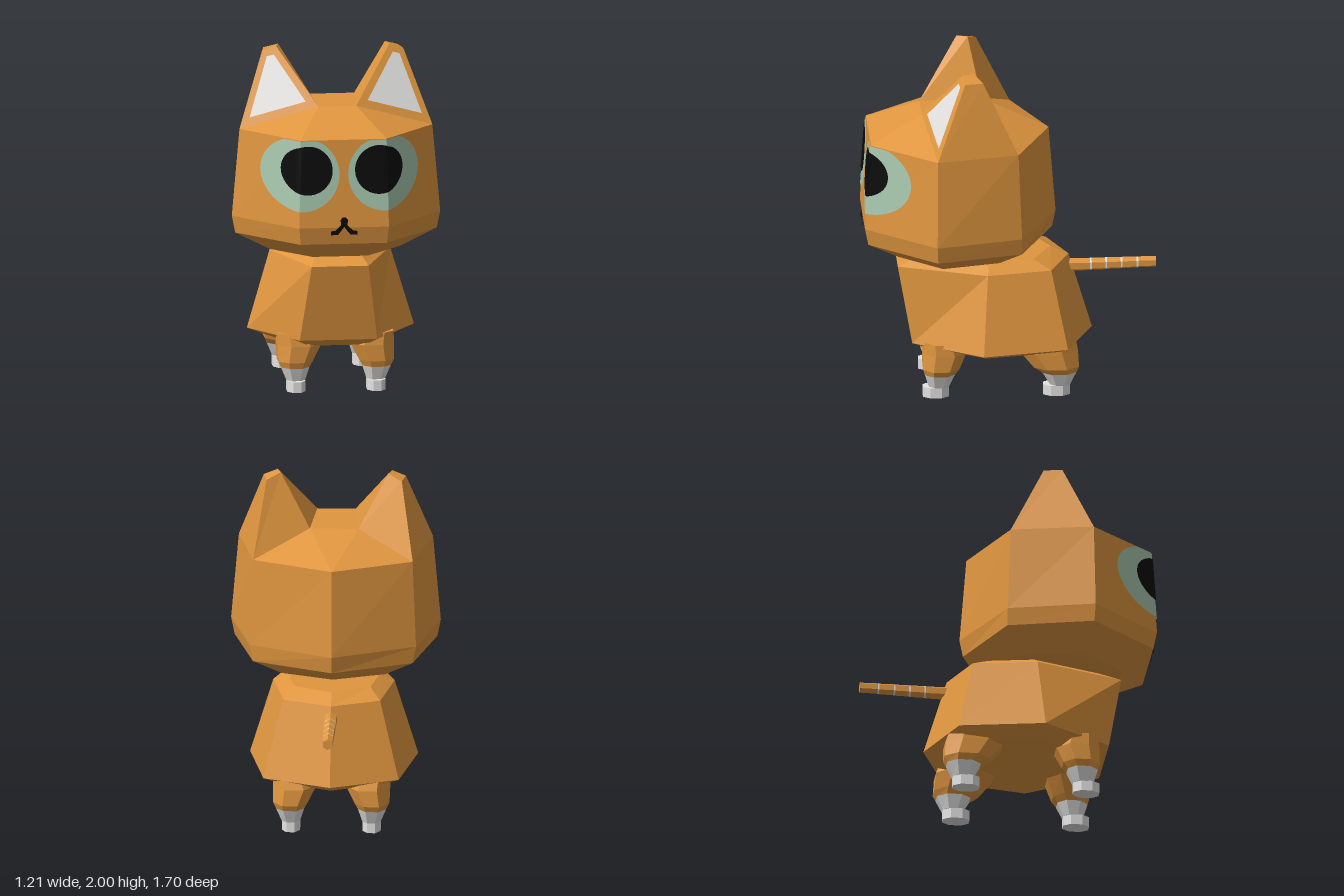
import * as THREE from 'three';

const material = (name, color, extra = {}) => {
  const m = new THREE.MeshStandardMaterial({ color, flatShading: true, ...extra });
  m.name = name;
  return m;
};

// Fan-triangulated polygons, each listed counter-clockwise from outside
function polygons(list) {
  const pos = [];
  for (const p of list)
    for (let i = 1; i < p.length - 1; i++) pos.push(...p[0], ...p[i], ...p[i + 1]);
  const g = new THREE.BufferGeometry();
  g.setAttribute('position', new THREE.Float32BufferAttribute(pos, 3));
  g.computeVertexNormals();
  return g;
}

// Faces joining rings from bottom to top, with optional end caps
function loft(rings, bottom = true, top = true) {
  const faces = [], n = rings[0].length;
  for (let r = 0; r < rings.length - 1; r++)
    for (let i = 0; i < n; i++) {
      const j = (i + 1) % n;
      faces.push([rings[r][i], rings[r][j], rings[r + 1][j], rings[r + 1][i]]);
    }
  if (bottom) faces.push([...rings[0]].reverse());
  if (top) faces.push(rings[rings.length - 1]);
  return faces;
}

const flip = ([x, y, z]) => [-x, y, z];
const mirror = (pts) => pts.map(flip).reverse();
const sided = (pts, s) => (s > 0 ? pts : mirror(pts));

// Seven-sided section: front corner, side corner, rear corner, back point
function ring7(y, fx, fz, sx, sz, bx, bz, back) {
  const half = [[fx, y, fz], [sx, y, sz], [bx, y, bz]];
  return [...half, [0, y, back], ...mirror(half)];
}

// Rectangle with clipped corners
function ring8(y, x0, x1, z0, z1) {
  const cx = (x1 - x0) * 0.28, cz = (z1 - z0) * 0.28;
  return [[x0 + cx, z1], [x1 - cx, z1], [x1, z1 - cz], [x1, z0 + cz],
    [x1 - cx, z0], [x0 + cx, z0], [x0, z0 + cz], [x0, z1 - cz]].map(([x, z]) => [x, y, z]);
}

// Disc wrapped over the front and side planes of the face
function faceDisc(cx, cy, r, lift) {
  const n = 28, crease = 0.255, xs = [crease];
  for (let i = 0; i <= n; i++) xs.push(cx - r * Math.cos((Math.PI * i) / n));
  xs.sort((a, b) => a - b);
  const point = (x, y) => {
    const t = (y - 1.04) / 0.51;
    const fx = 0.26 - 0.01 * t, fz = 0.845 - 0.035 * t;
    const sx = 0.605 - 0.045 * t, sz = 0.445 - 0.005 * t;
    if (x === crease) x = fx;
    const k = Math.max(0, (x - fx) / (sx - fx));
    return [x + (k > 0 ? lift * 0.5 : 0), y, fz + (sz - fz) * k + lift];
  };
  const cols = xs.map((x) => {
    const h = Math.sqrt(Math.max(0, r * r - (x - cx) ** 2));
    return [point(x, cy - h), point(x, Math.min(1.546, cy + h))];
  });
  return cols.slice(1).map((c, i) => [cols[i][0], c[0], c[1], cols[i][1]]);
}

export function createModel() {
  const model = new THREE.Group();
  model.name = 'cat';
  const fur = material('orange fur', 0xe0963f);
  const white = material('white fur', 0xe4e3e2);
  const iris = material('pale green', 0xa9c9b0, { side: THREE.DoubleSide });
  const black = material('black', 0x0b0b0b, { side: THREE.DoubleSide });
  const add = (name, geometry, mat, parent = model) => {
    const m = new THREE.Mesh(geometry, mat);
    m.name = name;
    parent.add(m);
    return m;
  };

  // Body
  add('body', polygons(loft([
    ring7(0.27, 0.17, 0.48, 0.37, 0.15, 0.3, -0.25, -0.38),
    ring7(0.32, 0.225, 0.57, 0.485, 0.17, 0.39, -0.32, -0.48),
    ring7(0.77, 0.165, 0.65, 0.35, 0.14, 0.28, -0.23, -0.345),
    ring7(0.82, 0.13, 0.52, 0.27, 0.13, 0.22, -0.13, -0.24),
  ])), fur);

  // Head: lofted sides plus a faceted roof between the ears
  const F = [0.25, 1.55, 0.81], S = [0.56, 1.55, 0.44], B = [0.46, 1.55, -0.03];
  const C = [0, 1.55, -0.23], I = [0.11, 1.685, 0.51], K = [0.14, 1.685, 0.15];
  const sides = loft([
    ring7(0.83, 0.16, 0.65, 0.38, 0.4, 0.3, 0.07, -0.04),
    ring7(0.94, 0.25, 0.825, 0.585, 0.44, 0.46, -0.05, -0.25),
    ring7(1.04, 0.26, 0.845, 0.605, 0.445, 0.48, -0.05, -0.27),
    ring7(1.55, ...[F[0], F[2], S[0], S[2], B[0], B[2], C[2]]),
  ], true, false);
  const roof = [
    [flip(F), F, I, flip(I)], [flip(I), I, K, flip(K)], [C, flip(K), K],
    [F, S, I], [B, C, K], mirror([F, S, I]), mirror([B, C, K]),
  ];
  add('head', polygons([...sides, ...roof]), fur);

  for (const s of [1, -1]) {
    const side = s > 0 ? 'left' : 'right';

    // Ears with pale inner panels lying on the front plane
    const tip = [[0.33, 2, 0.284], [0.41, 1.97, 0.276], [0.39, 1.97, 0.17], [0.31, 2, 0.22]];
    add(side + 'Ear', polygons(loft([sided([I, S, B, K], s), sided(tip, s)], false)), fur);
    const panel = [[0.18, 1.71], [0.5, 1.615], [0.385, 1.945], [0.345, 1.955]]
      .map(([x, y]) => [x, y, 0.447 - 0.3 * (x - 0.56) - 0.499 * (y - 1.55)]);
    add(side + 'InnerEar', polygons([sided(panel, s)]), white);

    // Eyes
    const eye = (r, x, y, lift) => polygons(faceDisc(x, y, r, lift).map((p) => sided(p, s)));
    add(side + 'Eye', eye(0.215, 0.24, 1.35, 0.005), iris);
    add(side + 'Pupil', eye(0.142, 0.207, 1.375, 0.009), black);

    // Legs: z ranges from thigh down to ankle, then the foot
    const legs = {
      Front: [[0.29, 0.5], [0.26, 0.51], [0.3, 0.51], [0.325, 0.5], [0.36, 0.475], [0.36, 0.51]],
      Back: [[-0.36, -0.08], [-0.385, -0.05], [-0.39, -0.13], [-0.375, -0.18], [-0.34, -0.225], [-0.34, -0.185]],
    };
    for (const [end, z] of Object.entries(legs)) {
      const leg = new THREE.Group();
      leg.name = side + end + 'Leg';
      model.add(leg);
      const rings = [
        ring8(0.34, 0.12, 0.335, ...z[0]), ring8(0.27, 0.085, 0.337, ...z[1]),
        ring8(0.175, 0.135, 0.335, ...z[2]), ring8(0.14, 0.155, 0.318, ...z[3]),
        ring8(0.06, 0.18, 0.285, ...z[4]),
      ].map((r) => sided(r, s));
      const foot = [0, 0.062].map((y) => sided(ring8(y, 0.18, 0.285, ...z[5]), s));
      add('upperLeg', polygons(loft(rings.slice(0, 4).reverse())), fur, leg);
      add('sock', polygons(loft([rings[4], rings[3]])), white, leg);
      add('foot', polygons(loft(foot)), white, leg);
    }
  }

  // Mouth
  const half = [[0, 1.02], [0.0, 1.045], [0.035, 1.0], [0.078, 0.997], [0.078, 1.02],
    [0.05, 1.024], [0.018, 1.056], [0.022, 1.085], [0.01, 1.1], [0, 1.1]].slice(1);
  const outline = [...half, ...half.slice(1, -1).map(([x, y]) => [-x, y]).reverse()];
  const mouth = new THREE.Shape(outline.map(([x, y]) => new THREE.Vector2(x, y)));
  add('mouth', new THREE.ShapeGeometry(mouth).translate(0, 0, 0.85), black);

  // Tail with thin pale bands
  const cuts = [0.34, 0.468, 0.478, 0.556, 0.566, 0.645, 0.655, 0.737, 0.747, 0.85];
  const radius = (z) => 0.04 - 0.016 * (z - 0.34);
  for (let i = 0; i < cuts.length - 1; i++) {
    const a = cuts[i], b = cuts[i + 1], mid = (a + b) / 2;
    const g = new THREE.CylinderGeometry(radius(b), radius(a), b - a, 6);
    g.rotateX(-Math.PI / 2).translate(0, 0.7 + 0.02 * (mid - 0.34), -mid);
    add(i % 2 ? 'tailBand' : 'tail', g, i % 2 ? white : fur);
  }
  return model;
}
